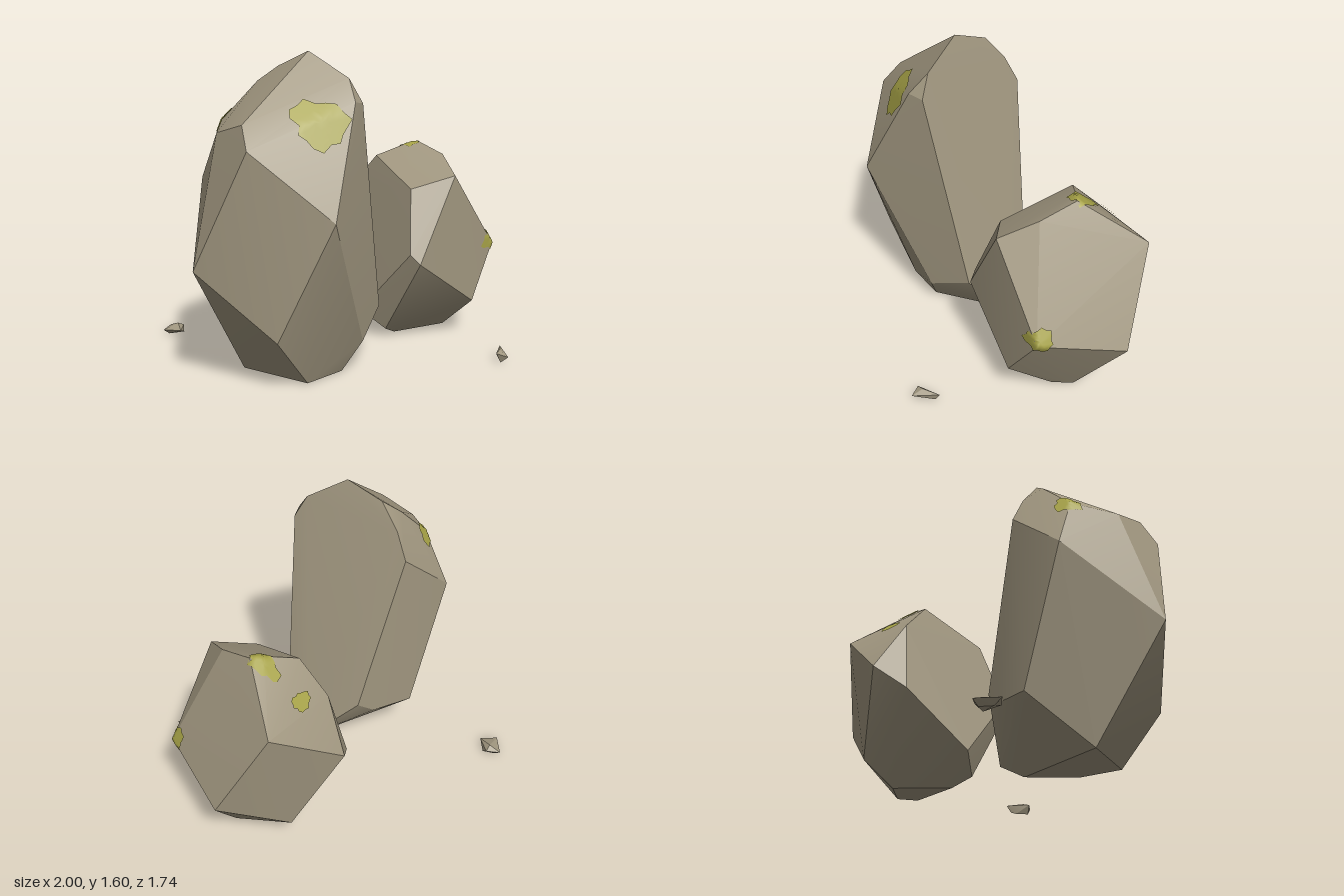
import * as THREE from 'three';
import { toCreasedNormals } from 'three/addons/utils/BufferGeometryUtils.js';
import { ConvexGeometry } from 'three/addons/geometries/ConvexGeometry.js';

const stone = new THREE.MeshStandardMaterial({ color: 0xa0967f });
stone.name = 'stone';
const moss = new THREE.MeshStandardMaterial({ color: 0xa5a146, side: THREE.DoubleSide });
moss.name = 'moss';

// Faceted boulder: the hull of its corners, with only slight bends smoothed.
function boulder(name, corners) {
  const hull = new ConvexGeometry(corners.map((c) => new THREE.Vector3(...c)));
  const mesh = new THREE.Mesh(toCreasedNormals(hull, 0.4), stone);
  mesh.name = name;
  return mesh;
}

// Thin ragged patch laid on a boulder: rings of points dropped onto its surface.
function mossPatch(name, rock, centre, facing, width, height, seed) {
  const c = new THREE.Vector3(...centre);
  const n = new THREE.Vector3(...facing).normalize();
  const hint = Math.abs(n.y) > 0.8 ? new THREE.Vector3(0, 0, -1) : new THREE.Vector3(0, 1, 0);
  const u = new THREE.Vector3().crossVectors(hint, n).normalize();
  const v = new THREE.Vector3().crossVectors(n, u);
  const ray = new THREE.Raycaster();
  const drop = (a, b) => {
    const start = c.clone().addScaledVector(u, a).addScaledVector(v, b).addScaledVector(n, 1);
    ray.set(start, n.clone().negate());
    const hit = ray.intersectObject(rock)[0];
    const p = hit ? hit.point : c.clone();
    return p.addScaledVector(n, 0.007);
  };
  const segments = 18;
  const rings = 4;
  const points = [drop(0, 0)];
  const index = [];
  for (let r = 1; r <= rings; r++) {
    for (let i = 0; i < segments; i++) {
      const t = (i / segments) * Math.PI * 2;
      const ragged = 0.87 + 0.09 * Math.sin(3 * t + seed) + 0.1 * Math.sin(7 * t + seed * 2);
      const k = (r / rings) * ragged;
      points.push(drop(Math.cos(t) * k * width / 2, Math.sin(t) * k * height / 2));
      const j = (i + 1) % segments;
      const outer = 1 + (r - 1) * segments;
      const inner = outer - segments;
      if (r === 1) index.push(0, outer + i, outer + j);
      else index.push(inner + i, outer + i, outer + j, inner + i, outer + j, inner + j);
    }
  }
  const geometry = new THREE.BufferGeometry().setFromPoints(points);
  geometry.setIndex(index);
  geometry.computeVertexNormals();
  const mesh = new THREE.Mesh(geometry, moss);
  mesh.name = name;
  return mesh;
}

export function createModel() {
  const group = new THREE.Group();
  group.name = 'rocks';

  const tall = boulder('tallRock', [
    // crown and sloping top
    [-0.34, 1.6, 0.11], [-0.36, 1.525, -0.09], [-0.34, 1.39, -0.2], [-0.32, 1.245, -0.27],
    [-0.44, 1.45, -0.16], [-0.635, 1.26, -0.21], [-0.81, 1.22, -0.03], [-0.83, 1.27, 0.18],
    [-0.88, 1.16, 0.27], [-0.27, 1.47, 0.32], [-0.235, 1.35, 0.38], [-0.32, 1.36, 0.41],
    // belly
    [-0.6, 0.83, 0.555], [-1, 0.585, 0.01], [-0.65, 0.96, -0.36],
    // lower corners
    [-0.78, 0.26, 0.35], [-0.4, 0.26, -0.31], [-0.175, 0.28, -0.2], [-0.08, 0.36, -0.15],
    [0.04, 0.07, 0.12], [0, 0.27, 0.285], [-0.24, 0.155, 0.39],
    // foot
    [-0.635, 0, -0.07], [-0.56, 0, 0.32], [-0.32, 0, 0.32], [-0.09, 0, 0.15],
  ]);

  const short = boulder('shortRock', [
    // crown
    [0.61, 1.075, 0.04], [0.55, 1.065, 0], [0.58, 1.02, 0.24], [0.47, 0.925, 0.415],
    [0.28, 0.855, 0.26], [0.4, 1, -0.1], [0.39, 0.83, -0.265], [0.84, 0.85, -0.235],
    // belly
    [1, 0.38, 0], [0.82, 0.5, 0.425], [0.47, 0.56, -0.42], [0.31, 0.43, -0.33],
    [0.2, 0.47, 0.4], [0.175, 0.52, 0.35],
    // lower corners
    [0.61, 0.2, 0.445], [0.68, 0.135, -0.23], [0.16, 0.15, 0], [0.23, 0.05, 0.13],
    // foot
    [0.34, 0, 0.1], [0.66, 0, 0.2], [0.73, 0, 0.11], [0.6, 0, -0.08],
  ]);

  const backPebble = boulder('backPebble', [
    [-0.62, 0.03, -0.8], [-0.52, 0.025, -0.87], [-0.48, 0.03, -0.8], [-0.56, 0.03, -0.72],
    [-0.52, 0.05, -0.8], [-0.58, 0, -0.8], [-0.52, 0, -0.83], [-0.5, 0, -0.77],
  ]);
  const frontPebble = boulder('frontPebble', [
    [0.44, 0.05, 0.755], [0.36, 0.06, 0.81], [0.32, 0.05, 0.815], [0.35, 0.035, 0.87],
    [0.42, 0.01, 0.77], [0.34, 0, 0.83], [0.39, 0, 0.78],
  ]);

  group.add(
    tall, short, backPebble, frontPebble,
    mossPatch('tallRockFrontMoss', tall, [-0.52, 1.28, 0.4], [-0.15, 0.35, 1], 0.3, 0.29, 1),
    mossPatch('tallRockBackMoss', tall, [-0.62, 1.26, -0.22], [-0.3, 1, -0.8], 0.16, 0.15, 2),
    mossPatch('shortRockTopMoss', short, [0.58, 1.05, -0.02], [0, 1, 0], 0.13, 0.19, 3),
    mossPatch('shortRockBackMoss', short, [0.55, 0.9, -0.23], [0, 1, -0.7], 0.14, 0.1, 4),
    mossPatch('shortRockSideMoss', short, [0.81, 0.52, 0.4], [1, 0.35, 0.5], 0.15, 0.14, 5),
  );
  return group;
}
